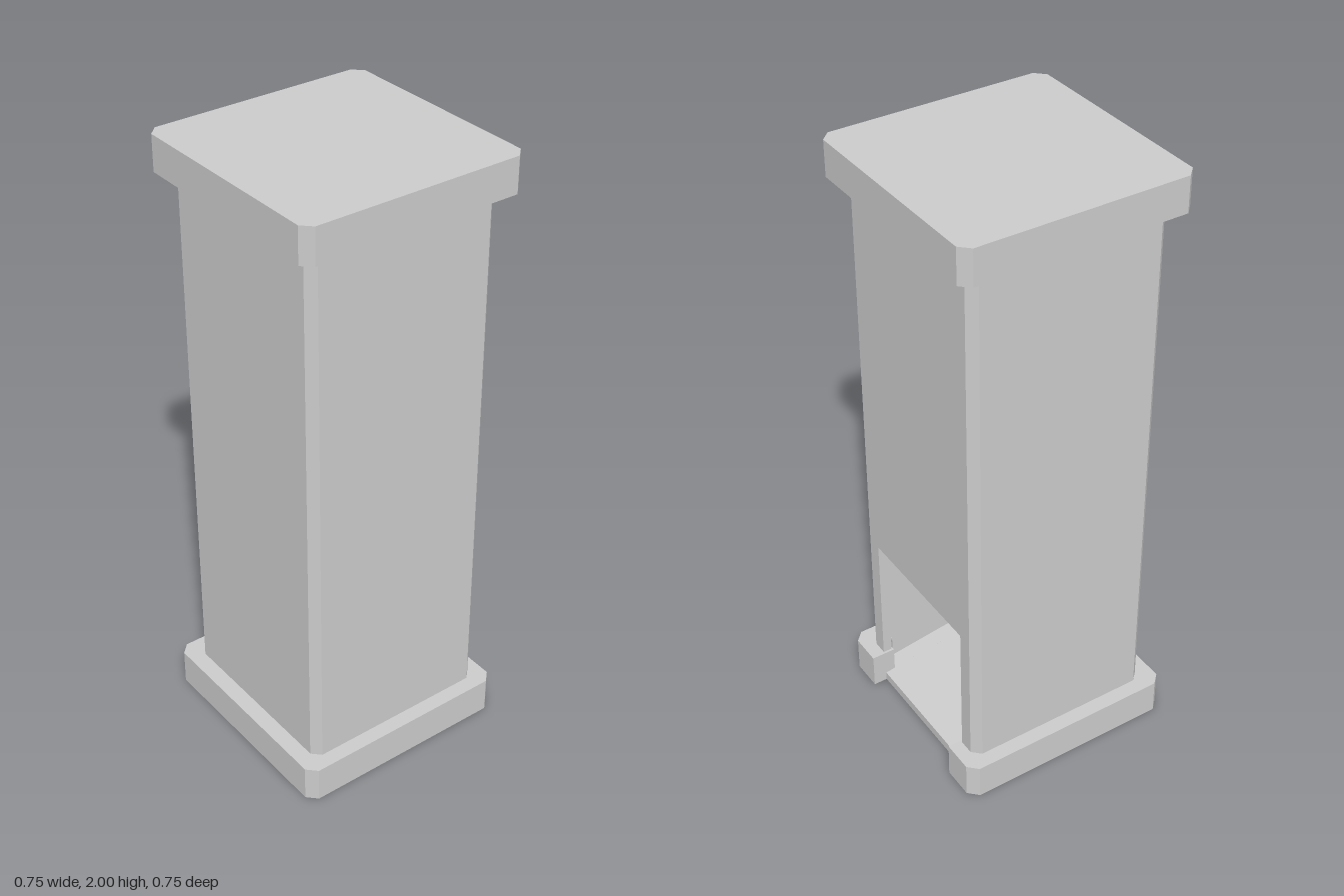
import * as THREE from 'three';

const material = new THREE.MeshStandardMaterial({ color: 0xcccccc, flatShading: true });

// Corners of a square with cut corners, counter-clockwise, starting on the +x side
function cutSquare(h, c) {
  return [[h, h - c], [h - c, h], [c - h, h], [-h, h - c],
    [-h, c - h], [c - h, -h], [h - c, -h], [h, c - h]];
}

const toPoints = (list) => list.map(([x, y]) => new THREE.Vector2(x, y));

// Closed ring, or a C-shape open towards +x when a gap half-width is given
function ringShape(outer, inner, gap) {
  if (gap === undefined) {
    const shape = new THREE.Shape(toPoints(outer));
    if (inner) shape.holes.push(new THREE.Path(toPoints(inner)));
    return shape;
  }
  const xo = outer[0][0], xi = inner[0][0];
  return new THREE.Shape(toPoints([
    [xo, gap], ...outer, [xo, -gap],
    [xi, -gap], ...[...inner].reverse(), [xi, gap],
  ]));
}

// Extrude a plan shape upwards from y0 to y1
function slab(shape, y0, y1) {
  const geo = new THREE.ExtrudeGeometry(shape, { depth: y1 - y0, bevelEnabled: false });
  return geo.rotateX(-Math.PI / 2).translate(0, y0, 0);
}

// The shaft leans very slightly towards -x as it rises
function lean(geo) {
  const p = geo.attributes.position;
  for (let i = 0; i < p.count; i++) {
    p.setX(i, p.getX(i) + 0.005 - 0.0035 * p.getY(i));
  }
  geo.computeVertexNormals();
  return geo;
}

export function createModel() {
  const group = new THREE.Group();
  const add = (name, geo) => {
    const mesh = new THREE.Mesh(geo, material);
    mesh.name = name;
    group.add(mesh);
  };

  const plate = cutSquare(0.373, 0.031);
  const outer = cutSquare(0.323, 0.027);
  const inner = cutSquare(0.293, 0.025);

  // Base collar, notched in front of the doorway
  add('base', slab(ringShape(plate, inner, 0.238), 0, 0.12));

  // Floor rising from the doorway to the far wall
  const profile = new THREE.Shape(toPoints([[-0.295, 0], [0.327, 0], [0.327, 0.03], [-0.295, 0.12]]));
  const floor = new THREE.ExtrudeGeometry(profile, { depth: 0.476, bevelEnabled: false });
  add('slopingFloor', floor.translate(0, 0, -0.238));

  // Narrow strips that carry the floor out to the side walls
  for (const s of [-1, 1]) {
    const strip = new THREE.Shape(toPoints([[-0.295, 0], [0.293, 0], [0.293, 0.035], [-0.295, 0.12]]));
    const geo = new THREE.ExtrudeGeometry(strip, { depth: 0.055, bevelEnabled: false });
    add(s > 0 ? 'leftFloorEdge' : 'rightFloorEdge', geo.translate(0, 0, s > 0 ? 0.238 : -0.293));
  }

  // Hollow shaft: open around the doorway, closed above it
  add('lowerShaft', lean(slab(ringShape(outer, inner, 0.246), 0.12, 0.58)));
  add('upperShaft', lean(slab(ringShape(outer, inner), 0.58, 1.885)));

  // Cap
  add('cap', slab(ringShape(plate), 1.885, 2));

  return group;
}
